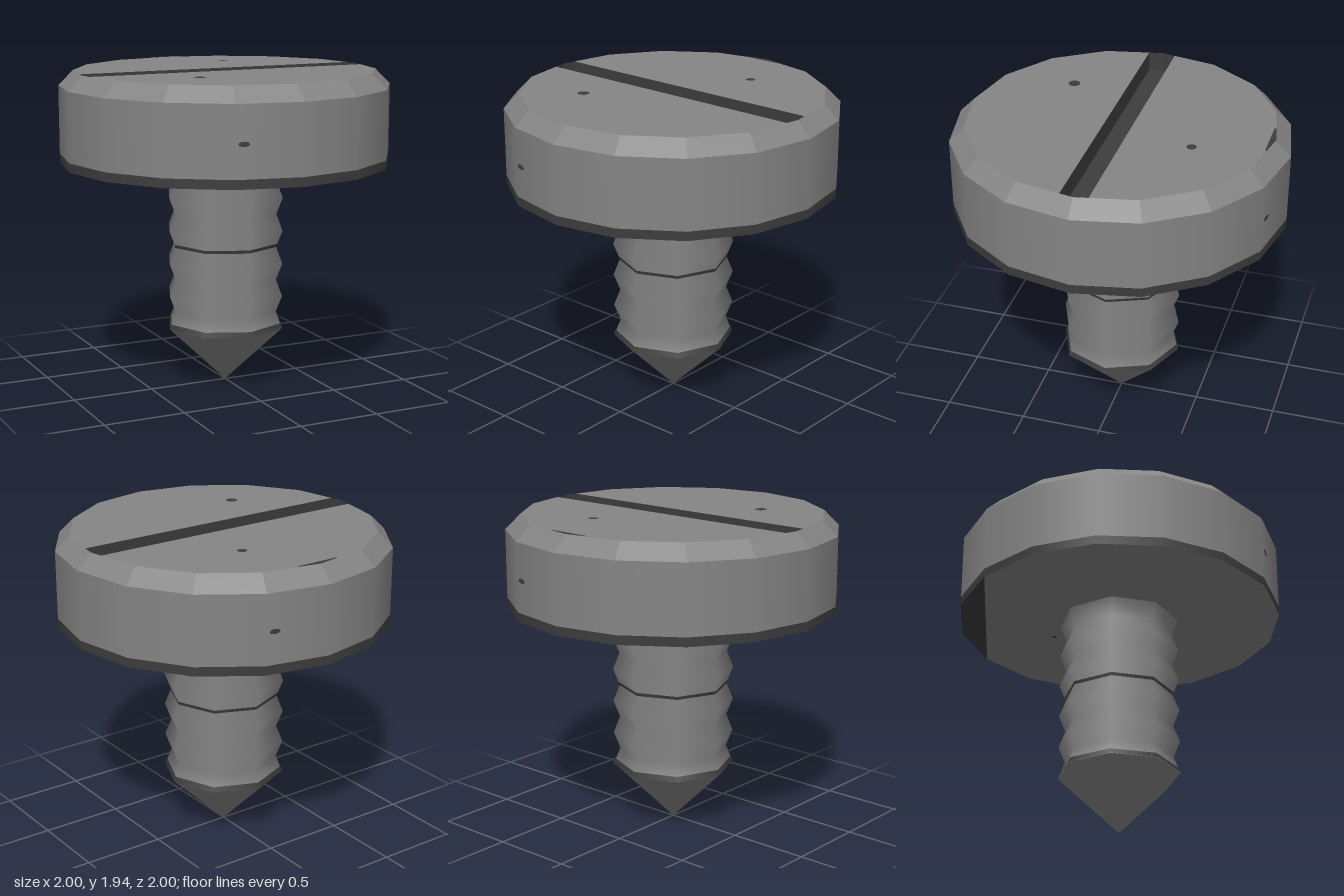
import * as THREE from 'three';

export function createModel() {
  const model = new THREE.Group();
  const steel = new THREE.MeshStandardMaterial({ color: 0x858585 });
  steel.name = 'steel grey';
  const dark = new THREE.MeshStandardMaterial({ color: 0x3d3d3d });
  dark.name = 'dark grime';

  const add = (name, geometry, material, x = 0, y = 0, z = 0) => {
    const mesh = new THREE.Mesh(geometry, material);
    mesh.name = name;
    mesh.position.set(x, y, z);
    model.add(mesh);
    return mesh;
  };
  // Profile points are [radius, height], listed from bottom to top
  const lathe = (profile, sides) =>
    new THREE.LatheGeometry(profile.map(([r, y]) => new THREE.Vector2(r, y)), sides);
  const flat = (geometry) => {
    const g = geometry.toNonIndexed();
    g.computeVertexNormals();
    return g;
  };
  // Flat polygon from [x, z] points, facing up or down
  const plate = (points, up = true) => {
    const s = up ? -1 : 1;
    const shape = new THREE.Shape(points.map(([x, z]) => new THREE.Vector2(x, s * z)));
    return new THREE.ShapeGeometry(shape).rotateX(s * Math.PI / 2);
  };
  const ring = (r) => Array.from({ length: 16 }, (_, i) => {
    const a = i * Math.PI / 8;
    return [r * Math.cos(a), r * Math.sin(a)];
  });

  const TOP = 1.94, SHOULDER = 1.85, BASE = 1.38, RIM = 0.91;
  const SIDES = 16;

  // Head: dark lower rim, smooth side and faceted bevel
  add('headLowerRim', lathe([[1, BASE], [1, 1.435]], SIDES), dark);
  add('headSide', lathe([[1, 1.435], [1, SHOULDER]], SIDES), steel);
  add('headBevel', flat(lathe([[1, SHOULDER], [RIM, TOP]], SIDES)), steel);

  // Underside, with a worn dark segment at the back
  const base = ring(1);
  add('headUnderside', plate(base.filter((_, i) => i !== 11 && i !== 12), false), steel, 0, BASE);
  add('undersideStain', plate(base.slice(10, 14), false), dark, 0, BASE);

  // Top face in two halves either side of the slot
  const half = 0.082, end = 0.894, depth = 0.12;
  const top = ring(RIM);
  add('headTopFront', plate([[end, half], ...top.slice(1, 8), [-end, half]]), steel, 0, TOP);
  add('headTopBack', plate([[-end, -half], ...top.slice(9, 16), [end, -half]]), steel, 0, TOP);

  // Slot floor and inward-facing walls
  const slot = [[end, half], [-end, half], [-RIM, 0], [-end, -half], [end, -half], [RIM, 0]];
  add('slotFloor', plate(slot), dark, 0, TOP - depth);
  const wall = [];
  slot.forEach(([x0, z0], i) => {
    const [x1, z1] = slot[(i + 1) % slot.length];
    const a = [x0, TOP, z0], b = [x1, TOP, z1];
    const c = [x1, TOP - depth, z1], d = [x0, TOP - depth, z0];
    wall.push(...a, ...d, ...c, ...a, ...c, ...b);
  });
  const walls = new THREE.BufferGeometry();
  walls.setAttribute('position', new THREE.Float32BufferAttribute(wall, 3));
  walls.computeVertexNormals();
  const slotWalls = add('slotWalls', walls, dark);
  slotWalls.material.side = THREE.DoubleSide;

  // Dark chip on the rear edge of the top
  add('topChip', plate([[-0.14, -0.882], [0, -0.91], [0.14, -0.882], [0.13, -0.873], [-0.13, -0.873]]),
    dark, 0, TOP + 0.003);

  // Small pits on the top, underside and sides
  [[0.21, -0.47, 0.03], [-0.35, 0.4, 0.037]].forEach(([x, z, r]) =>
    add('topPit', new THREE.CircleGeometry(r, 10).rotateX(-Math.PI / 2), dark, x, TOP + 0.003, z));
  add('undersidePit', new THREE.CircleGeometry(0.015, 8).rotateX(Math.PI / 2), dark, 0.12, BASE - 0.003, -0.43);
  [1, -1].forEach((s) => {
    const pit = new THREE.CircleGeometry(0.033, 10).scale(1, 0.45, 1);
    pit.rotateY(-Math.PI / 16 + (s < 0 ? Math.PI : 0));
    add(s > 0 ? 'frontPit' : 'backPit', pit, dark, -0.333 * s, 1.63, 0.938 * s);
  });

  // Threaded shank: radius alternates between crest and root
  const crest = 0.37, root = 0.33, pitch = (BASE - 0.36) / 10;
  const thread = Array.from({ length: 11 }, (_, i) => [i % 2 ? root : crest, 0.36 + i * pitch]);
  add('shank', lathe(thread, 8), steel);
  add('point', flat(lathe([[0, 0], [crest, 0.36]], 8)), steel);

  // Dark bands just proud of the shank
  add('lowerBand', lathe([[crest + 0.003, 0.36], [0.361, 0.392]], 8), dark);
  add('middleBand', lathe([[root + 0.004, 0.87], [root + 0.01, 0.902]], 8), dark);

  return model;
}
